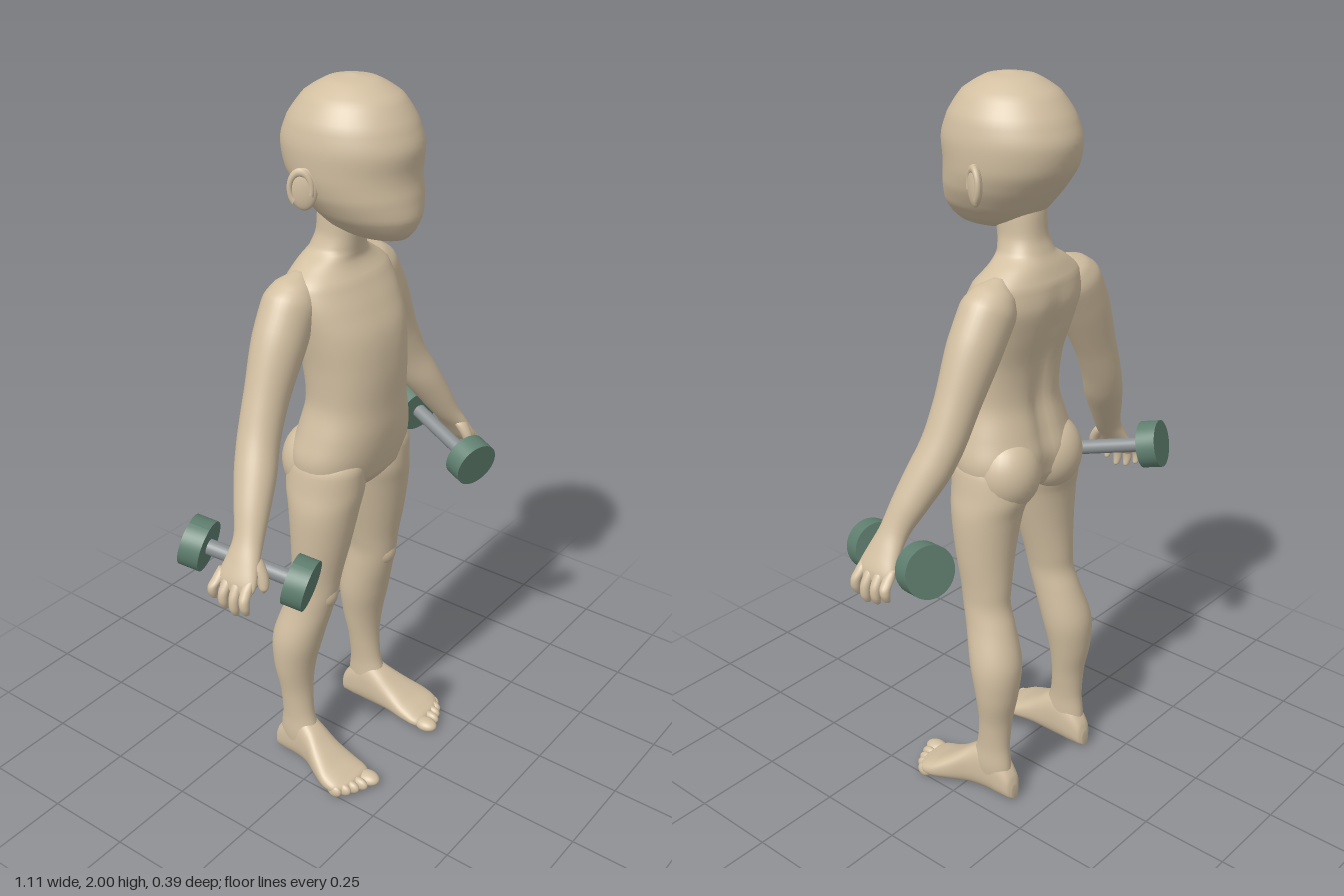
import * as THREE from 'three';

const V = (x, y, z) => new THREE.Vector3(x, y, z);
const X = V(1, 0, 0), Y = V(0, 1, 0), Z = V(0, 0, 1);

// Smooth closed skin through oval sections [cx, cy, cz, a, b]; a runs along u and b along v.
function loft(sections, { u = X, v = Z, power = 1, sides = 36, steps = 5, rule } = {}) {
  const centres = new THREE.CatmullRomCurve3(sections.map(s => V(s[0], s[1], s[2])));
  const radii = new THREE.CatmullRomCurve3(sections.map(s => V(s[3], s[4], 0)));
  const rings = (sections.length - 1) * steps;
  const pos = [], index = [];
  const bend = n => Math.sign(n) * Math.abs(n) ** power;
  for (let i = 0; i <= rings; i++) {
    const c = centres.getPoint(i / rings), r = radii.getPoint(i / rings);
    for (let j = 0; j < sides; j++) {
      const t = j / sides * Math.PI * 2;
      const p = c.clone().addScaledVector(u, Math.max(r.x, 0.001) * bend(Math.cos(t)))
        .addScaledVector(v, Math.max(r.y, 0.001) * bend(Math.sin(t)));
      if (rule) rule(p);
      pos.push(p.x, p.y, p.z);
      if (i < rings) {
        const k = (j + 1) % sides, a = i * sides, b = a + sides;
        index.push(a + j, b + j, a + k, a + k, b + j, b + k);
      }
    }
  }
  // End caps
  const first = pos.length / 3, last = rings * sides;
  for (const s of [sections[0], sections.at(-1)]) pos.push(s[0], s[1], s[2]);
  for (let j = 0; j < sides; j++) {
    const k = (j + 1) % sides;
    index.push(first, j, k, first + 1, last + k, last + j);
  }
  const g = new THREE.BufferGeometry();
  g.setAttribute('position', new THREE.Float32BufferAttribute(pos, 3));
  g.setIndex(index);
  // Turn the skin outwards if its enclosed volume is negative
  let volume = 0;
  const at = i => V(pos[i * 3], pos[i * 3 + 1], pos[i * 3 + 2]);
  for (let i = 0; i < index.length; i += 3) volume += at(index[i]).dot(at(index[i + 1]).cross(at(index[i + 2])));
  if (volume < 0) flip(g);
  g.computeVertexNormals();
  return g;
}

function flip(g) {
  const a = g.index.array;
  for (let i = 0; i < a.length; i += 3) [a[i], a[i + 1]] = [a[i + 1], a[i]];
}

// Upright sections from [y, xMin, xMax, zFront, zBack]
const upright = rows => rows.map(([y, x0, x1, f, b]) => [(x0 + x1) / 2, y, (f + b) / 2, (x1 - x0) / 2, (f - b) / 2]);
const centred = rows => upright(rows.map(([y, w, f, b]) => [y, -w, w, f, b]));

const ellipsoid = (x, y, z, rx, ry, rz, turn = 0) =>
  new THREE.SphereGeometry(1, 28, 20).scale(rx, ry, rz).rotateY(turn).translate(x, y, z);

// Cylinder between two points
function rod(a, b, r, sides = 40) {
  const d = b.clone().sub(a), g = new THREE.CylinderGeometry(r, r, d.length(), sides);
  g.applyQuaternion(new THREE.Quaternion().setFromUnitVectors(Y, d.normalize()));
  const m = a.clone().add(b).multiplyScalar(0.5);
  return g.translate(m.x, m.y, m.z);
}

export function createModel() {
  const model = new THREE.Group();
  const material = (name, color) => Object.assign(new THREE.MeshStandardMaterial({ color }), { name });
  const skin = material('skin', 0xd2bfa1);
  const green = material('green plates', 0x5f7f6f);
  const steel = material('grey bar', 0x8b9092);

  const add = (name, geometry, mat = skin) => {
    const mesh = new THREE.Mesh(geometry, mat);
    mesh.name = name;
    model.add(mesh);
  };
  const pair = (name, geometry, mat) => {
    const other = geometry.clone().scale(-1, 1, 1);
    flip(other);
    other.computeVertexNormals();
    if (geometry.type === 'CylinderGeometry') other.attributes.normal.needsUpdate = true;
    add('left' + name, geometry, mat);
    add('right' + name, other, mat);
  };

  // Head and ears
  add('head', loft(centred([
    [2, 0.004, 0.004, -0.012], [1.99, 0.06, 0.06, -0.07], [1.955, 0.115, 0.12, -0.13],
    [1.9, 0.15, 0.158, -0.172], [1.84, 0.161, 0.177, -0.192], [1.78, 0.158, 0.172, -0.18],
    [1.73, 0.145, 0.179, -0.148], [1.68, 0.117, 0.184, -0.108], [1.645, 0.085, 0.172, -0.07],
    [1.622, 0.05, 0.15, -0.02], [1.615, 0.004, 0.085, 0.075]]), { sides: 48 }));
  pair('Ear', ellipsoid(0.163, 1.755, -0.03, 0.014, 0.052, 0.034, -0.45));
  pair('EarRim', new THREE.TorusGeometry(0.03, 0.008, 10, 28, 4.4).rotateZ(-0.9)
    .scale(0.9, 1.35, 1).rotateY(Math.PI / 2 - 0.45).translate(0.171, 1.757, -0.033));

  // Torso and neck, with a shallow spine groove
  add('torso', loft(centred([
    [0.9, 0.02, 0.02, -0.07], [0.92, 0.1, 0.06, -0.11], [0.96, 0.18, 0.092, -0.135], [1.02, 0.189, 0.107, -0.142],
    [1.09, 0.172, 0.116, -0.125], [1.18, 0.15, 0.117, -0.108], [1.28, 0.155, 0.117, -0.118],
    [1.37, 0.168, 0.104, -0.145], [1.44, 0.178, 0.073, -0.16], [1.5, 0.168, 0.04, -0.152],
    [1.54, 0.118, 0.014, -0.135], [1.568, 0.075, 0.013, -0.12], [1.61, 0.06, 0.02, -0.106],
    [1.67, 0.058, 0.03, -0.102], [1.73, 0.05, 0.03, -0.09]]), {
    sides: 56, power: 0.88,
    rule: p => {
      if (p.z < -0.05 && p.y < 1.5) p.z += 0.016 * Math.exp(-((p.x / 0.03) ** 2)) * Math.min(1, (1.5 - p.y) * 8);
    }
  }));
  pair('Buttock', ellipsoid(0.088, 0.985, -0.068, 0.092, 0.105, 0.088));

  // Legs
  pair('Leg', loft(upright([
    [1.06, 0.03, 0.15, 0.06, -0.08], [1, 0.012, 0.188, 0.093, -0.13], [0.93, 0.006, 0.2, 0.09, -0.135],
    [0.87, 0.018, 0.21, 0.08, -0.118], [0.76, 0.044, 0.208, 0.061, -0.106], [0.66, 0.068, 0.2, 0.041, -0.104],
    [0.6, 0.079, 0.199, 0.032, -0.106], [0.54, 0.081, 0.207, 0.017, -0.126], [0.44, 0.084, 0.229, -0.01, -0.156],
    [0.34, 0.1, 0.226, -0.034, -0.152], [0.25, 0.116, 0.211, -0.041, -0.136], [0.17, 0.126, 0.205, -0.033, -0.132],
    [0.1, 0.127, 0.206, -0.01, -0.14], [0.05, 0.13, 0.2, 0, -0.14]])));
  pair('Kneecap', ellipsoid(0.138, 0.6, -0.006, 0.04, 0.05, 0.042));

  // Feet from [z, xMin, xMax, top], flat underneath
  pair('Foot', loft([
    [-0.16, 0.15, 0.176, 0.05], [-0.15, 0.137, 0.19, 0.08], [-0.11, 0.127, 0.2, 0.13], [-0.06, 0.124, 0.206, 0.155],
    [-0.02, 0.123, 0.217, 0.135], [0.03, 0.122, 0.243, 0.098], [0.08, 0.118, 0.263, 0.066],
    [0.115, 0.118, 0.261, 0.05], [0.14, 0.125, 0.235, 0.038], [0.15, 0.15, 0.2, 0.025]
  ].map(([z, x0, x1, top]) => [(x0 + x1) / 2, top / 2 + 0.004, z, (x1 - x0) / 2, top / 2 - 0.002]), { v: Y, power: 0.8 }));
  [[0.148, 0.158, 0.026, 0.036], [0.183, 0.152, 0.014, 0.028], [0.208, 0.142, 0.014, 0.026],
    [0.23, 0.13, 0.014, 0.025], [0.25, 0.113, 0.013, 0.023]].forEach(([x, z, r, len], i) =>
    pair('Toe' + (i + 1), ellipsoid(x, 0.021, z, r, 0.019, len)));

  // Arms running into the palms
  const across = V(0.894, 0.447, 0);
  pair('Arm', loft([
    [0.125, 1.525, -0.075, 0.012, 0.015], [0.145, 1.492, -0.075, 0.055, 0.055], [0.172, 1.448, -0.075, 0.076, 0.07],
    [0.217, 1.37, -0.073, 0.074, 0.069], [0.28, 1.24, -0.068, 0.06, 0.058], [0.322, 1.15, -0.06, 0.054, 0.057],
    [0.355, 1.085, -0.045, 0.053, 0.058], [0.405, 1.0, -0.02, 0.044, 0.05], [0.445, 0.93, 0, 0.033, 0.042],
    [0.476, 0.885, 0.006, 0.027, 0.05], [0.504, 0.84, 0.008, 0.022, 0.06], [0.516, 0.815, 0.008, 0.012, 0.05]
  ], { u: across }));

  // Fingers and thumbs
  [[-0.044, 0.025], [-0.013, 0.008], [0.019, 0], [0.05, 0.014]].forEach(([z, lift], i) =>
    pair('Finger' + (i + 1), loft([
      [0.5, 0.86, z, 0.008, 0.01], [0.514, 0.838, z, 0.016, 0.015], [0.53, 0.808 + lift / 2, z * 1.08, 0.015, 0.014],
      [0.532, 0.778 + lift, z * 1.12, 0.013, 0.013], [0.526, 0.758 + lift, z * 1.12, 0.008, 0.008],
      [0.524, 0.753 + lift, z * 1.12, 0.001, 0.001]], { sides: 16, steps: 4 })));
  pair('Thumb', loft([
    [0.462, 0.91, 0.02, 0.01, 0.012], [0.466, 0.888, 0.04, 0.02, 0.02], [0.468, 0.858, 0.06, 0.017, 0.017],
    [0.472, 0.828, 0.069, 0.013, 0.013], [0.474, 0.813, 0.07, 0.002, 0.002]], { sides: 16 }));

  // Dumbbells
  const front = V(0.394, 0.824, 0.125), back = V(0.48, 0.886, -0.138);
  const axis = back.clone().sub(front).normalize();
  pair('DumbbellBar', rod(front, back, 0.021, 28), steel);
  for (const [name, c] of [['FrontPlate', front], ['BackPlate', back]]) {
    const end = d => c.clone().addScaledVector(axis, d);
    pair('Dumbbell' + name, rod(end(-0.028), end(0.028), 0.068), green);
  }
  return model;
}
